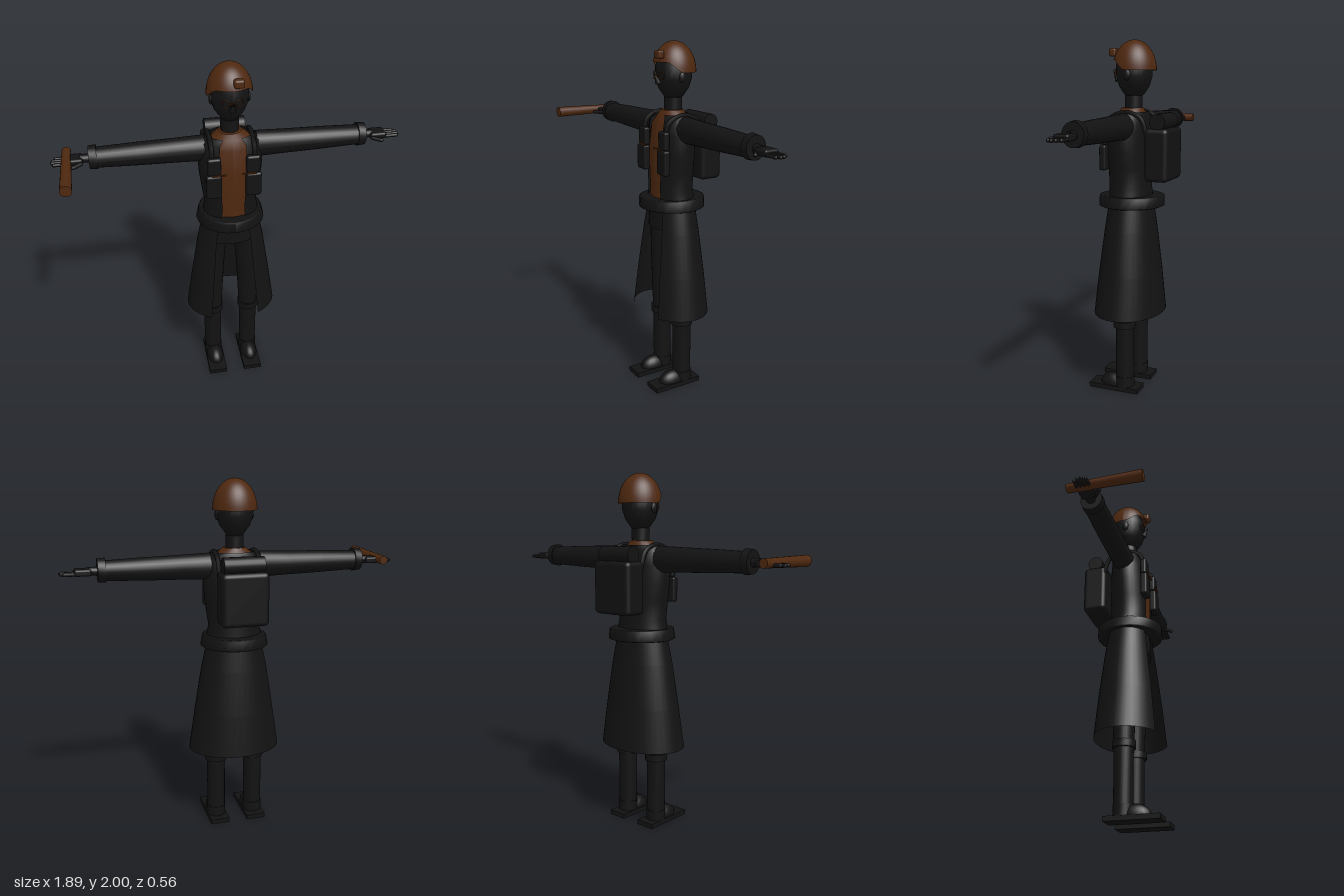
import * as THREE from 'three';
import { RoundedBoxGeometry } from 'three/addons/geometries/RoundedBoxGeometry.js';

const black = new THREE.MeshStandardMaterial({ color: 0x121212, side: THREE.DoubleSide });
black.name = 'black cloth';
const brown = new THREE.MeshStandardMaterial({ color: 0x4e280f, side: THREE.DoubleSide });
brown.name = 'brown leather';

// Elliptical loft; rings run top to bottom as [y, rx, rz, zCentre, xCentre]
function loft(rings, { seg = 24, open = false, start = 0, length = Math.PI * 2 } = {}) {
  const n = rings.length - 1;
  const geo = new THREE.CylinderGeometry(1, 1, 1, seg, n, open, start, length);
  const p = geo.attributes.position;
  for (let i = 0; i < p.count; i++) {
    const [y, rx, rz, zc = 0, xc = 0] = rings[Math.round((0.5 - p.getY(i)) * n)];
    p.setXYZ(i, p.getX(i) * rx + xc, y, p.getZ(i) * rz + zc);
  }
  geo.computeVertexNormals();
  return geo;
}

export function createModel() {
  const model = new THREE.Group();
  model.name = 'explorer';
  const add = (name, geo, mat, x = 0, y = 0, z = 0, parent = model) => {
    const m = new THREE.Mesh(geo, mat);
    m.name = name;
    m.position.set(x, y, z);
    parent.add(m);
    return m;
  };
  const rbox = (w, h, d, r = 0.012) => new RoundedBoxGeometry(w, h, d, 2, r);

  // Head, ears and neck
  add('head', loft([
    [1.93, 0.075, 0.08, -0.04], [1.86, 0.1, 0.103, -0.04], [1.8, 0.1, 0.1, -0.04],
    [1.75, 0.082, 0.086, -0.04], [1.71, 0.052, 0.06, -0.04], [1.68, 0.025, 0.03, -0.04],
  ]), black);
  add('neck', loft([[1.7, 0.05, 0.05, -0.037], [1.6, 0.05, 0.05, -0.037]]), black);
  const nose = add('nose', new THREE.ConeGeometry(0.018, 0.07, 8), black, 0, 1.81, 0.072);
  nose.rotation.x = 0.45;
  for (const s of [-1, 1]) {
    const ear = add('ear', new THREE.SphereGeometry(0.03, 12, 8), black, s * 0.098, 1.81, -0.035);
    ear.scale.set(0.4, 1, 0.7);
    const rim = add('eyeglassRim', new THREE.TorusGeometry(0.021, 0.003, 6, 20), brown, s * 0.035, 1.82, 0.06);
    rim.rotation.y = s * 0.3;
  }
  add('eyeglassBridge', new THREE.BoxGeometry(0.03, 0.005, 0.005), brown, 0, 1.822, 0.065);

  // Helmet dome, its rim lifted over the face
  const dome = new THREE.SphereGeometry(1, 32, 14, 0, Math.PI * 2, 0, Math.PI / 2);
  const p = dome.attributes.position;
  for (let i = 0; i < p.count; i++) {
    const a = Math.atan2(p.getX(i), p.getZ(i));
    const lift = THREE.MathUtils.smoothstep(Math.cos(a), 0.1, 0.8);
    const polar = Math.acos(THREE.MathUtils.clamp(p.getY(i), -1, 1)) * (1 - 0.22 * lift);
    p.setXYZ(i, Math.sin(a) * Math.sin(polar) * 0.122, Math.cos(polar) * 0.165, Math.cos(a) * Math.sin(polar) * 0.123);
  }
  dome.computeVertexNormals();
  add('helmet', dome, brown, 0, 1.835, -0.042);
  add('helmetLamp', rbox(0.055, 0.045, 0.04), brown, 0.03, 1.932, 0.07);

  // Shirt with sloping collar
  add('shirt', loft([
    [1.632, 0.062, 0.062, -0.03], [1.6, 0.1, 0.076, -0.03], [1.55, 0.145, 0.095, -0.025],
    [1.4, 0.155, 0.108, -0.02], [1.2, 0.134, 0.106, -0.02], [1.14, 0.136, 0.108, -0.02],
  ]), brown);

  // Coat body and skirt, both open at the front
  add('coatBody', loft([
    [1.61, 0.115, 0.085, -0.03], [1.58, 0.165, 0.1, -0.028], [1.5, 0.178, 0.112, -0.022],
    [1.4, 0.173, 0.117, -0.02], [1.3, 0.16, 0.117, -0.02], [1.2, 0.145, 0.116, -0.02], [1.08, 0.17, 0.122, -0.025],
  ], { seg: 32, open: true, start: 0.43, length: Math.PI * 2 - 0.86 }), black);
  add('coatSkirt', loft([
    [1.13, 0.15, 0.12, -0.025], [0.95, 0.19, 0.145, -0.024],
    [0.7, 0.23, 0.176, -0.022], [0.46, 0.266, 0.2, -0.02],
  ], { seg: 32, open: true, start: 0.56, length: Math.PI * 2 - 1.12 }), black);
  add('belt', loft([
    [1.145, 0.172, 0.175, -0.028], [1.14, 0.18, 0.187, -0.028], [1.085, 0.192, 0.187, -0.028], [1.08, 0.182, 0.175, -0.028],
  ]), black);
  add('hips', loft([[1.14, 0.14, 0.108, -0.022], [0.96, 0.17, 0.115, -0.025]]), black);

  // Backpack with bedroll
  add('backpack', rbox(0.262, 0.29, 0.135, 0.025), black, 0, 1.38, -0.213);
  const roll = add('bedroll', new THREE.CylinderGeometry(0.045, 0.045, 0.225, 18), black, 0, 1.56, -0.215);
  roll.rotation.z = Math.PI / 2;

  for (const s of [-1, 1]) {
    // Chest pouches, clasp and shoulder strap
    add('upperPouch', rbox(0.075, 0.1, 0.035), black, s * 0.105, 1.48, 0.088);
    add('lowerPouch', rbox(0.085, 0.14, 0.04), black, s * 0.108, 1.36, 0.092);
    add('chestClasp', new THREE.BoxGeometry(0.075, 0.008, 0.008), brown, s * 0.08, 1.435, 0.113);
    const path = new THREE.CatmullRomCurve3([[1.5, 0.085], [1.57, 0.065], [1.612, -0.03], [1.58, -0.12], [1.48, -0.16]]
      .map(([y, z]) => new THREE.Vector3(s * 0.115, y, z)));
    add('shoulderStrap', new THREE.TubeGeometry(path, 20, 0.013, 6), black);

    // Sleeve and cuff, lying along x
    const sleeve = add('sleeve', loft([
      [0.715, 0.054, 0.056], [0.5, 0.062, 0.06], [0.3, 0.067, 0.06], [0.14, 0.073, 0.062],
    ]), black, 0, 1.533, -0.03);
    const cuff = add('cuff', loft([[0.746, 0.062, 0.059], [0.704, 0.066, 0.061]]), black, 0, 1.536, -0.03);
    const wrist = add('wrist', loft([[0.79, 0.022, 0.024], [0.73, 0.024, 0.026]]), black, 0, 1.533, -0.03);
    for (const m of [sleeve, cuff, wrist]) m.rotation.z = -s * Math.PI / 2;

    // Hand
    const hand = new THREE.Group();
    hand.name = s > 0 ? 'leftHand' : 'rightHand';
    model.add(hand);
    add('palm', rbox(0.09, 0.036, 0.082), black, s * 0.822, 1.53, -0.028, hand);
    [0.07, 0.08, 0.077, 0.062].forEach((len, i) => {
      const f = add('finger', new THREE.CapsuleGeometry(0.0095, len - 0.012, 4, 8), black,
        s * (0.862 + len / 2), 1.524, 0.002 - i * 0.021, hand);
      f.rotation.z = Math.PI / 2;
    });
    const thumb = add('thumb', new THREE.CapsuleGeometry(0.011, 0.05, 4, 8), black, s * 0.808, 1.522, 0.025, hand);
    thumb.rotation.set(Math.PI / 2, 0, -s * 0.9);

    // Leg, knee band and boot
    add('leg', loft([
      [1.02, 0.075, 0.08, -0.03, s * 0.09], [0.75, 0.068, 0.068, -0.03, s * 0.105], [0.43, 0.056, 0.056, -0.03, s * 0.11],
      [0.36, 0.053, 0.053, -0.03, s * 0.112], [0.03, 0.052, 0.052, -0.03, s * 0.112],
    ]), black);
    add('kneeBand', loft([[0.425, 0.064, 0.064, -0.028, s * 0.112], [0.385, 0.064, 0.064, -0.028, s * 0.112]]), black);
    add('ankleBand', loft([[0.085, 0.055, 0.055, -0.03, s * 0.112], [0.025, 0.055, 0.055, -0.03, s * 0.112]]), black);
    add('sole', new THREE.BoxGeometry(0.11, 0.027, 0.3), black, s * 0.11, 0.0135, 0.025);
    const toe = add('bootToe', new THREE.SphereGeometry(1, 18, 10, 0, Math.PI * 2, 0, Math.PI / 2), black, s * 0.11, 0.025, 0.035);
    toe.scale.set(0.05, 0.066, 0.085);
  }

  // Staff held in the right hand
  const staff = add('staff', new THREE.CylinderGeometry(0.031, 0.024, 0.4, 18), brown, -0.862, 1.535, 0.08);
  staff.rotation.x = Math.PI / 2;
  return model;
}
